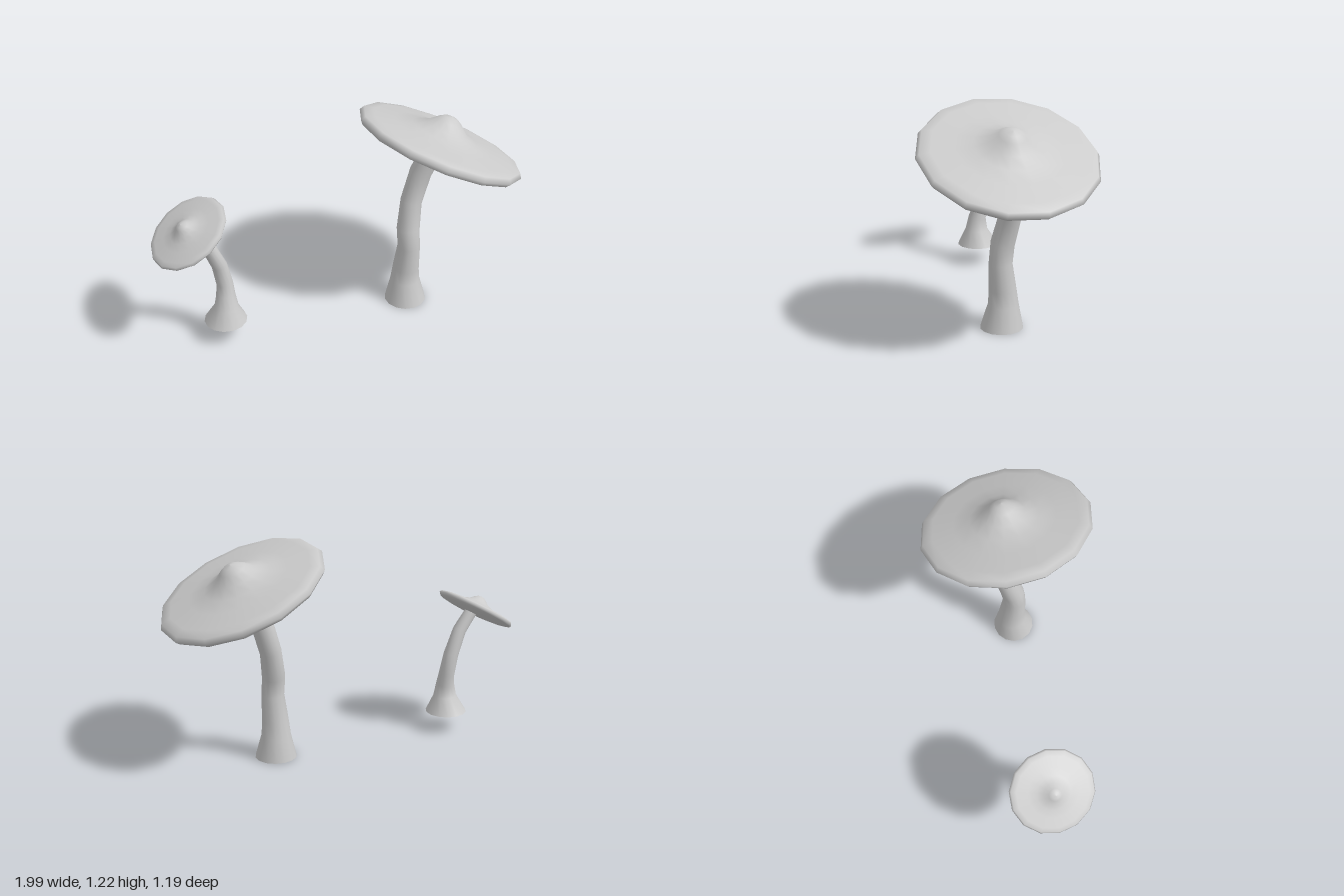
import * as THREE from 'three';

const material = new THREE.MeshStandardMaterial({ color: 0xcccccc });
const UP = new THREE.Vector3(0, 1, 0);

// Cap profile for unit radius: [radius, height], from the underside to the peak
const CAP = [
  [0, -0.13], [0.3, -0.125], [0.6, -0.11], [0.85, -0.08], [0.96, -0.05], [1, 0],
  [0.965, 0.055], [0.85, 0.08], [0.6, 0.105], [0.4, 0.14], [0.25, 0.2],
  [0.15, 0.285], [0.08, 0.33], [0, 0.345],
];

function makeCap(radius, centre, normal, spin) {
  const profile = CAP.map(([r, h]) => new THREE.Vector2(r * radius, h * radius));
  const geometry = new THREE.LatheGeometry(profile, 14);
  geometry.rotateY(spin);
  const cap = new THREE.Mesh(geometry, material);
  cap.name = 'cap';
  cap.position.set(...centre);
  cap.quaternion.setFromUnitVectors(UP, new THREE.Vector3(...normal).normalize());
  return cap;
}

// Stem skinned over rings given as [x, y, z, radius], each square to the path
function makeStem(rings, sides = 14) {
  const centres = rings.map(([x, y, z]) => new THREE.Vector3(x, y, z));
  const positions = [];
  const index = [];
  rings.forEach(([, , , radius], i) => {
    const tangent = i === 0
      ? UP.clone()
      : centres[Math.min(i + 1, rings.length - 1)].clone().sub(centres[i - 1]).normalize();
    const turn = new THREE.Quaternion().setFromUnitVectors(UP, tangent);
    for (let j = 0; j < sides; j++) {
      const a = (j / sides) * Math.PI * 2;
      const p = new THREE.Vector3(Math.sin(a) * radius, 0, Math.cos(a) * radius);
      p.applyQuaternion(turn).add(centres[i]);
      positions.push(p.x, p.y, p.z);
      if (i > 0) {
        const k = (j + 1) % sides;
        const low = (i - 1) * sides;
        const high = i * sides;
        index.push(low + j, low + k, high + j, low + k, high + k, high + j);
      }
    }
  });
  const geometry = new THREE.BufferGeometry();
  geometry.setAttribute('position', new THREE.Float32BufferAttribute(positions, 3));
  geometry.setIndex(index);
  geometry.computeVertexNormals();
  const stem = new THREE.Mesh(geometry, material);
  stem.name = 'stem';

  // Flat foot closing the bottom
  const foot = new THREE.Mesh(new THREE.CircleGeometry(rings[0][3], sides, Math.PI / 2), material);
  foot.name = 'foot';
  foot.rotation.x = Math.PI / 2;
  foot.position.copy(centres[0]);

  const group = new THREE.Group();
  group.name = 'stalk';
  group.add(stem, foot);
  return group;
}

function makeMushroom(name, rings, cap) {
  const mushroom = new THREE.Group();
  mushroom.name = name;
  mushroom.add(makeStem(rings), cap);
  return mushroom;
}

export function createModel() {
  const model = new THREE.Group();
  model.name = 'mushrooms';

  model.add(makeMushroom('largeMushroom', [
    [0.385, 0, -0.053, 0.118],
    [0.382, 0.13, -0.062, 0.085],
    [0.385, 0.22, -0.058, 0.076],
    [0.397, 0.37, -0.05, 0.065],
    [0.39, 0.48, -0.06, 0.066],
    [0.403, 0.64, -0.104, 0.061],
    [0.45, 0.82, -0.122, 0.062],
    [0.52, 0.98, -0.122, 0.063],
  ], makeCap(0.481, [0.55, 1.0, -0.127], [0.355, 0.908, -0.222], 0)));

  model.add(makeMushroom('smallMushroom', [
    [-0.625, 0.112, 0.317, 0.12],
    [-0.617, 0.207, 0.322, 0.068],
    [-0.618, 0.285, 0.316, 0.053],
    [-0.622, 0.35, 0.3, 0.046],
    [-0.645, 0.47, 0.302, 0.043],
    [-0.695, 0.61, 0.332, 0.039],
    [-0.765, 0.715, 0.362, 0.036],
  ], makeCap(0.235, [-0.79, 0.725, 0.366], [-0.447, 0.847, 0.288], 0.18)));

  return model;
}
